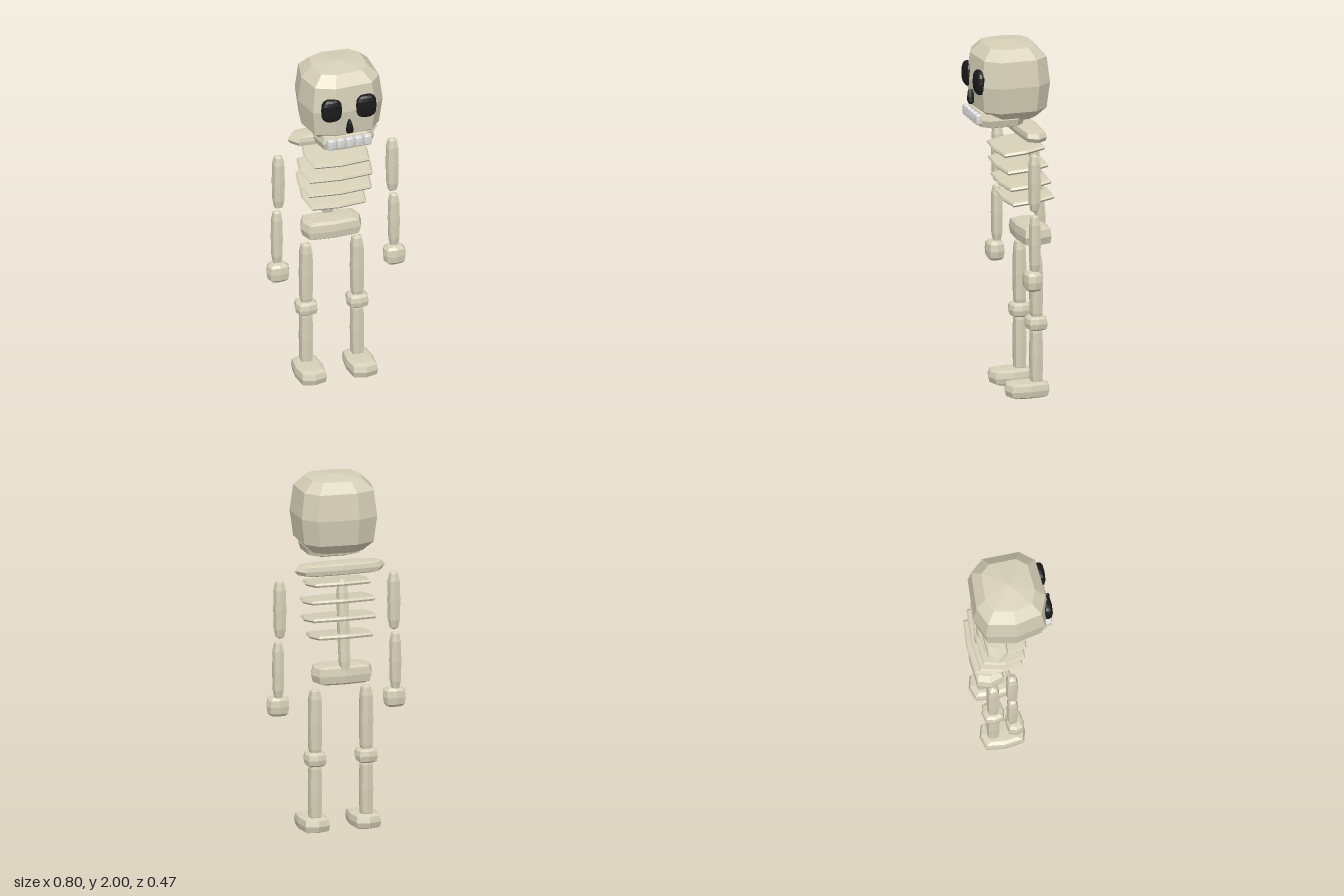
import * as THREE from 'three';

const bone = new THREE.MeshStandardMaterial({ name: 'bone', color: 0xd6d0b8, flatShading: true });
const socket = new THREE.MeshStandardMaterial({ name: 'socketBlack', color: 0x1a1a1a, flatShading: true });
const enamel = new THREE.MeshStandardMaterial({ name: 'toothWhite', color: 0xdcdcdc, flatShading: true });

// Faceted rounded block: a low-poly sphere whose curves are squared off by power p
function block(name, pos, size, { sides = 8, rings = 6, p = 0.6, tilt = 0, material = bone } = {}) {
  const geo = new THREE.SphereGeometry(1, sides, rings);
  const a = geo.attributes.position;
  const square = (v) => (Math.abs(v) < 1e-6 ? 0 : Math.sign(v) * Math.pow(Math.abs(v), p));
  for (let i = 0; i < a.count; i++) {
    const x = a.getX(i), y = a.getY(i), z = a.getZ(i);
    const r = Math.hypot(x, z);
    const s = r < 1e-6 ? 0 : square(r) / r;
    const c = r < 1e-6 ? 0 : square(x / r) * r * s;
    const d = r < 1e-6 ? 0 : square(z / r) * r * s;
    a.setXYZ(i, c * size[0], square(y) * size[1], d * size[2]);
  }
  geo.computeVertexNormals();
  const mesh = new THREE.Mesh(geo, material);
  mesh.name = name;
  mesh.position.set(...pos);
  mesh.rotation.x = tilt;
  return mesh;
}

function createHead() {
  const head = new THREE.Group();
  head.name = 'head';
  head.add(block('skull', [0, 1.78, 0], [0.23, 0.22, 0.213], { sides: 9 }));
  head.add(block('jaw', [0, 1.585, 0.07], [0.165, 0.055, 0.14], { sides: 9, p: 0.5 }));

  // Eye sockets
  for (const s of [-1, 1]) {
    head.add(block(s > 0 ? 'leftEyeSocket' : 'rightEyeSocket', [s * 0.099, 1.798, 0.195],
      [0.06, 0.069, 0.03], { sides: 12, rings: 8, p: 0.7, material: socket }));
  }

  // Nose hole, narrowing upward
  const nose = block('noseHole', [0, 1.693, 0.213], [0.026, 0.042, 0.02], { sides: 8, p: 0.7, material: socket });
  const a = nose.geometry.attributes.position;
  for (let i = 0; i < a.count; i++) {
    const k = 0.62 - (a.getY(i) / 0.042) * 0.38;
    a.setX(i, a.getX(i) * k * 1.1);
  }
  nose.geometry.computeVertexNormals();
  head.add(nose);

  // Row of teeth
  for (let i = -2; i <= 2; i++) {
    head.add(block('tooth', [i * 0.052, 1.59, 0.203], [0.025, 0.031, 0.02], { p: 0.45, material: enamel }));
  }
  return head;
}

function createTorso() {
  const torso = new THREE.Group();
  torso.name = 'torso';
  torso.add(block('collarbone', [0, 1.488, -0.1], [0.26, 0.034, 0.066], { p: 0.5 }));
  torso.add(block('spine', [0, 1.17, -0.168], [0.034, 0.27, 0.03], { p: 0.5, tilt: 0.1 }));
  torso.add(block('pelvis', [0, 0.9, -0.13], [0.175, 0.056, 0.088], { p: 0.45 }));

  // Ribs: [y, z, half width, half depth]
  const ribs = [
    [1.395, -0.047, 0.182, 0.133],
    [1.3, -0.06, 0.206, 0.133],
    [1.204, -0.077, 0.206, 0.135],
    [1.109, -0.1, 0.178, 0.136],
  ];
  for (const [y, z, w, d] of ribs) {
    torso.add(block('rib', [0, y, z], [w, 0.014, d], { p: 0.35, tilt: 0.13 }));
  }
  return torso;
}

// One arm and one leg for side s (+1 left, -1 right)
function createArm(s) {
  const arm = new THREE.Group();
  arm.name = s > 0 ? 'leftArm' : 'rightArm';
  arm.add(block('upperArm', [s * 0.328, 1.263, -0.048], [0.036, 0.168, 0.034]));
  arm.add(block('forearm', [s * 0.337, 0.918, -0.047], [0.033, 0.17, 0.032]));
  arm.add(block('hand', [s * 0.335, 0.712, -0.034], [0.065, 0.057, 0.05]));
  return arm;
}

function createLeg(s) {
  const leg = new THREE.Group();
  leg.name = s > 0 ? 'leftLeg' : 'rightLeg';
  leg.add(block('thigh', [s * 0.147, 0.618, -0.116], [0.038, 0.2, 0.036], { p: 0.5 }));
  leg.add(block('knee', [s * 0.147, 0.418, -0.116], [0.063, 0.042, 0.063]));
  leg.add(block('shin', [s * 0.147, 0.228, -0.116], [0.038, 0.19, 0.036], { p: 0.5 }));
  leg.add(block('foot', [s * 0.147, 0.045, -0.063], [0.083, 0.045, 0.128], { p: 0.5 }));
  return leg;
}

export function createModel() {
  const model = new THREE.Group();
  model.name = 'skeleton';
  model.add(createHead(), createTorso());
  for (const s of [1, -1]) model.add(createArm(s), createLeg(s));
  return model;
}
